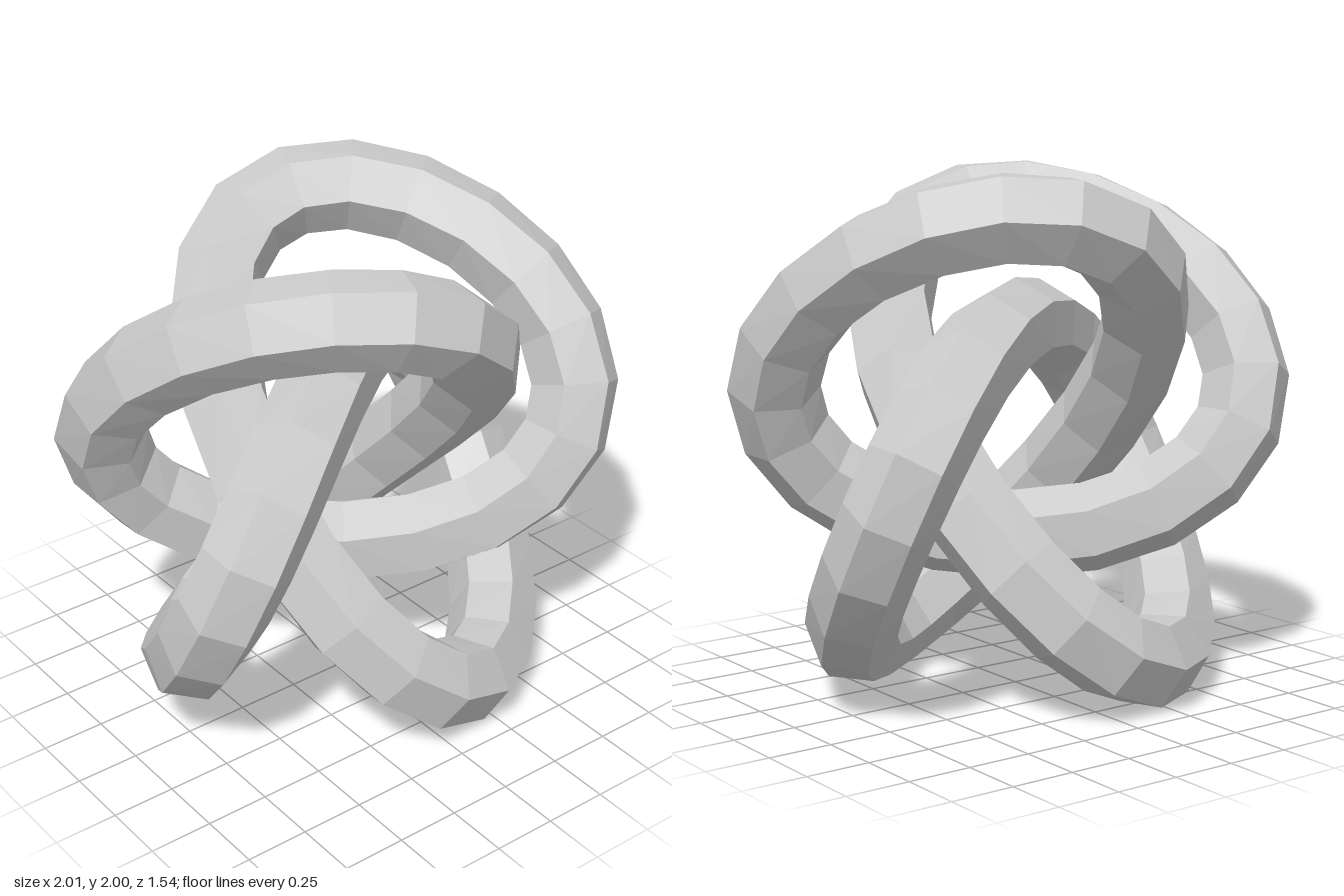
import * as THREE from 'three';

// Closed four-lobed knot path winding three times around the z axis
class KnotCurve extends THREE.Curve {
  getPoint(u, target = new THREE.Vector3()) {
    const t = u * Math.PI * 2;
    return target.set(
      0.7 * Math.sin(3 * t) + 0.29 * Math.sin(t),
      0.7 * Math.cos(3 * t) - 0.29 * Math.cos(t),
      0.1 * Math.sin(2 * t) - 0.515 * Math.sin(4 * t) + 0.018 * Math.sin(6 * t)
    );
  }

  // Even steps of the angle, so the lobes get shorter facets than the crossings
  getUtoTmapping(u) {
    return u;
  }
}

export function createModel() {
  const group = new THREE.Group();
  group.name = 'knot';

  // Faceted six-sided tube swept along the path
  const geometry = new THREE.TubeGeometry(new KnotCurve(), 64, 0.175, 6, true);
  const material = new THREE.MeshStandardMaterial({ color: 0xcccccc, flatShading: true });
  const tube = new THREE.Mesh(geometry, material);
  tube.name = 'knotTube';

  // Centre the tube and stand it on the ground
  geometry.center();
  tube.position.y = geometry.boundingBox.max.y;
  group.add(tube);
  return group;
}
